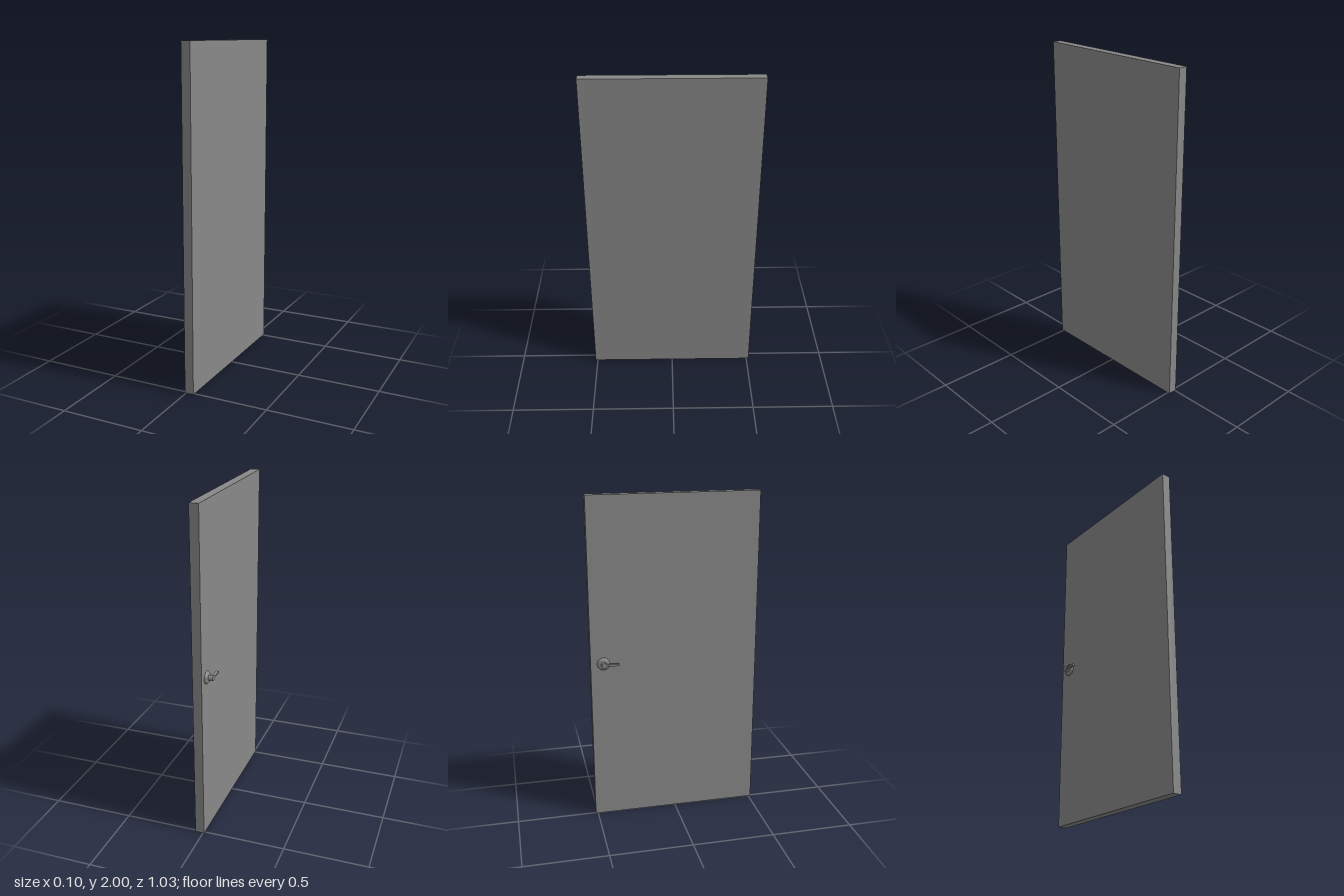
import * as THREE from 'three';
import { toCreasedNormals } from 'three/addons/utils/BufferGeometryUtils.js';

export function createModel() {
  const model = new THREE.Group();
  const material = new THREE.MeshStandardMaterial({ color: 0x888888 });
  const add = (parent, name, geometry) => {
    const mesh = new THREE.Mesh(geometry, material);
    mesh.name = name;
    parent.add(mesh);
    return mesh;
  };

  // Flat door slab, one face towards +x and the handle side towards -x
  const slabFace = -0.007;
  const thickness = 0.055;
  add(model, 'doorPanel', new THREE.BoxGeometry(thickness, 2, 1.028))
    .position.set(slabFace + thickness / 2, 1, 0);

  // Handle group: local +y points out of the door (world -x)
  const handle = new THREE.Group();
  handle.name = 'handle';
  handle.position.set(slabFace, 1.003, -0.437);
  handle.rotation.z = Math.PI / 2;
  model.add(handle);

  // Round rosette with a domed rim
  const rosette = [[0.038, 0], [0.038, 0.004], [0.036, 0.009], [0.031, 0.013], [0.024, 0.015], [0, 0.015]]
    .map(([r, y]) => new THREE.Vector2(r, y));
  add(handle, 'rosette', toCreasedNormals(new THREE.LatheGeometry(rosette, 32), 0.7));

  // Neck, and a slim lever running from it towards the middle of the door
  add(handle, 'neck', new THREE.CylinderGeometry(0.016, 0.016, 0.03, 32)).position.y = 0.027;
  add(handle, 'lever', new THREE.BoxGeometry(0.012, 0.018, 0.09)).position.set(0, 0.033, 0.045);

  return model;
}
